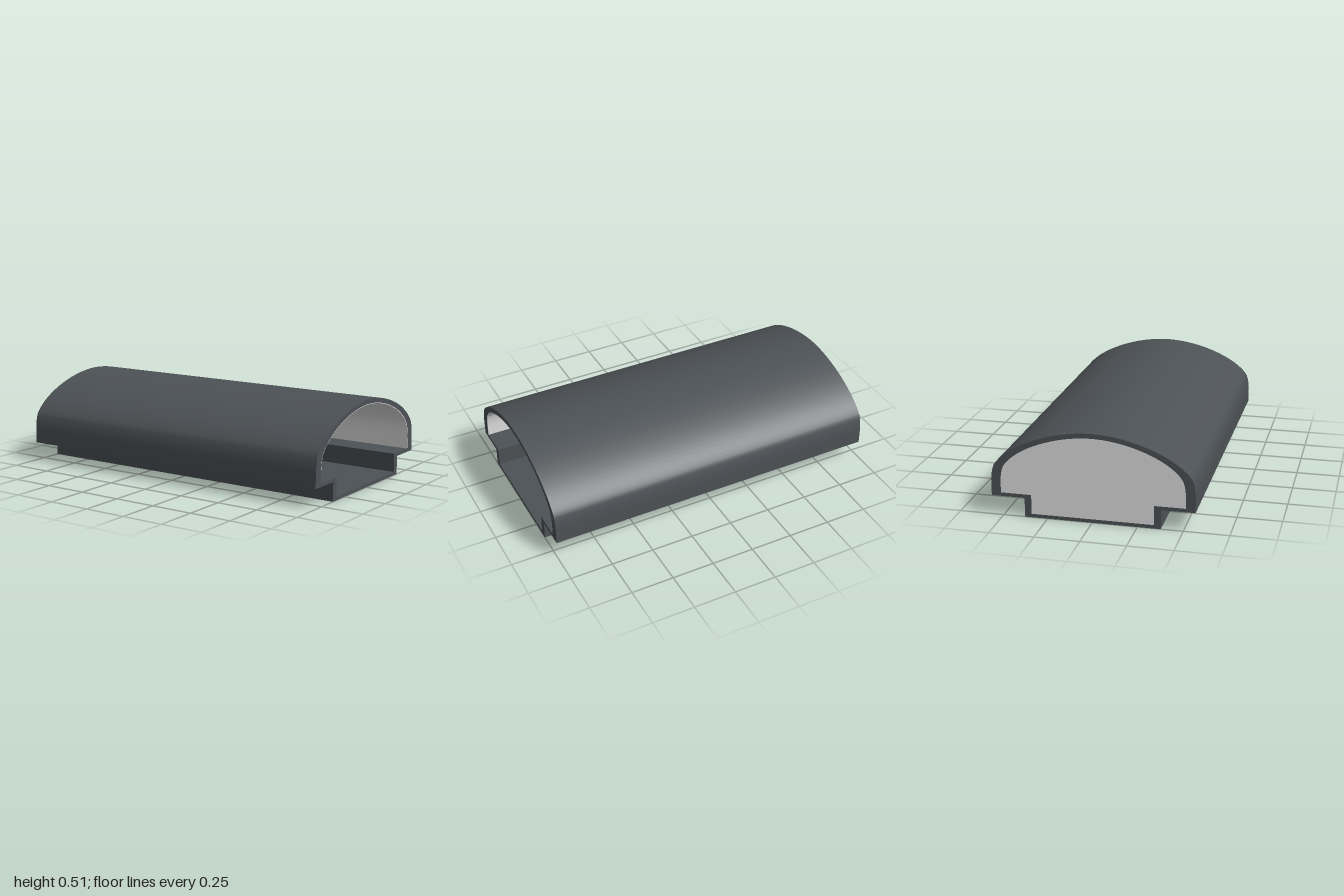
import * as THREE from 'three';
import { toCreasedNormals } from 'three/addons/utils/BufferGeometryUtils.js';

const V = (x, y) => new THREE.Vector2(x, y);

// Arched half-profile from the wall foot to the crown, mirrored to a full arch
function arch(foot, wall, shoulder, ctrlA, ctrlB, crown) {
  const bend = new THREE.QuadraticBezierCurve(wall, V(wall.x - 0.002, wall.y + 0.05), shoulder).getPoints(6);
  const dome = new THREE.CubicBezierCurve(shoulder, ctrlA, ctrlB, crown).getPoints(20);
  const half = [foot, ...bend, ...dome.slice(1)];
  return [...half, ...half.slice(0, -1).reverse().map(p => V(-p.x, p.y))];
}

// Extrude a cross-section along x
function extrudeX(shape, start, length) {
  const g = new THREE.ExtrudeGeometry(shape, { depth: length, bevelEnabled: false });
  g.rotateY(Math.PI / 2);
  g.translate(start, 0, 0);
  return toCreasedNormals(g, 0.5);
}

export function createModel() {
  const group = new THREE.Group();
  const dark = new THREE.MeshStandardMaterial({ name: 'dark grey', color: 0x4d5256 });
  const light = new THREE.MeshStandardMaterial({ name: 'light grey', color: 0xe2e2e2 });

  const add = (name, geometry, material) => {
    const mesh = new THREE.Mesh(geometry, material);
    mesh.name = name;
    group.add(mesh);
  };

  const outerArch = arch(V(0.565, 0.11), V(0.565, 0.2), V(0.548, 0.29), V(0.475, 0.405), V(0.22, 0.507), V(0, 0.507));
  const innerArch = arch(V(0.512, 0.13), V(0.512, 0.2), V(0.495, 0.285), V(0.43, 0.39), V(0.2, 0.48), V(0, 0.48));

  // Stepped channel below each arch
  const outline = [V(-0.378, 0.11), V(-0.378, 0), V(0.378, 0), V(0.378, 0.11), ...outerArch];
  const cavity = [V(-0.34, 0.13), V(-0.34, 0.02), V(0.34, 0.02), V(0.34, 0.13), ...innerArch];

  // Hollow housing
  const shell = new THREE.Shape(outline);
  shell.holes.push(new THREE.Path(cavity));
  add('housing', extrudeX(shell, -1, 2), dark);

  // Plate closing one end of the cavity
  add('endPlate', extrudeX(new THREE.Shape(cavity), -1, 0.008), light);

  // Thin light lining under the arch
  const liningInside = innerArch.map(p => V(p.x * 0.992, 0.13 + (p.y - 0.13) * 0.99)).reverse();
  add('archLining', extrudeX(new THREE.Shape([...innerArch, ...liningInside]), -0.992, 1.991), light);

  return group;
}
